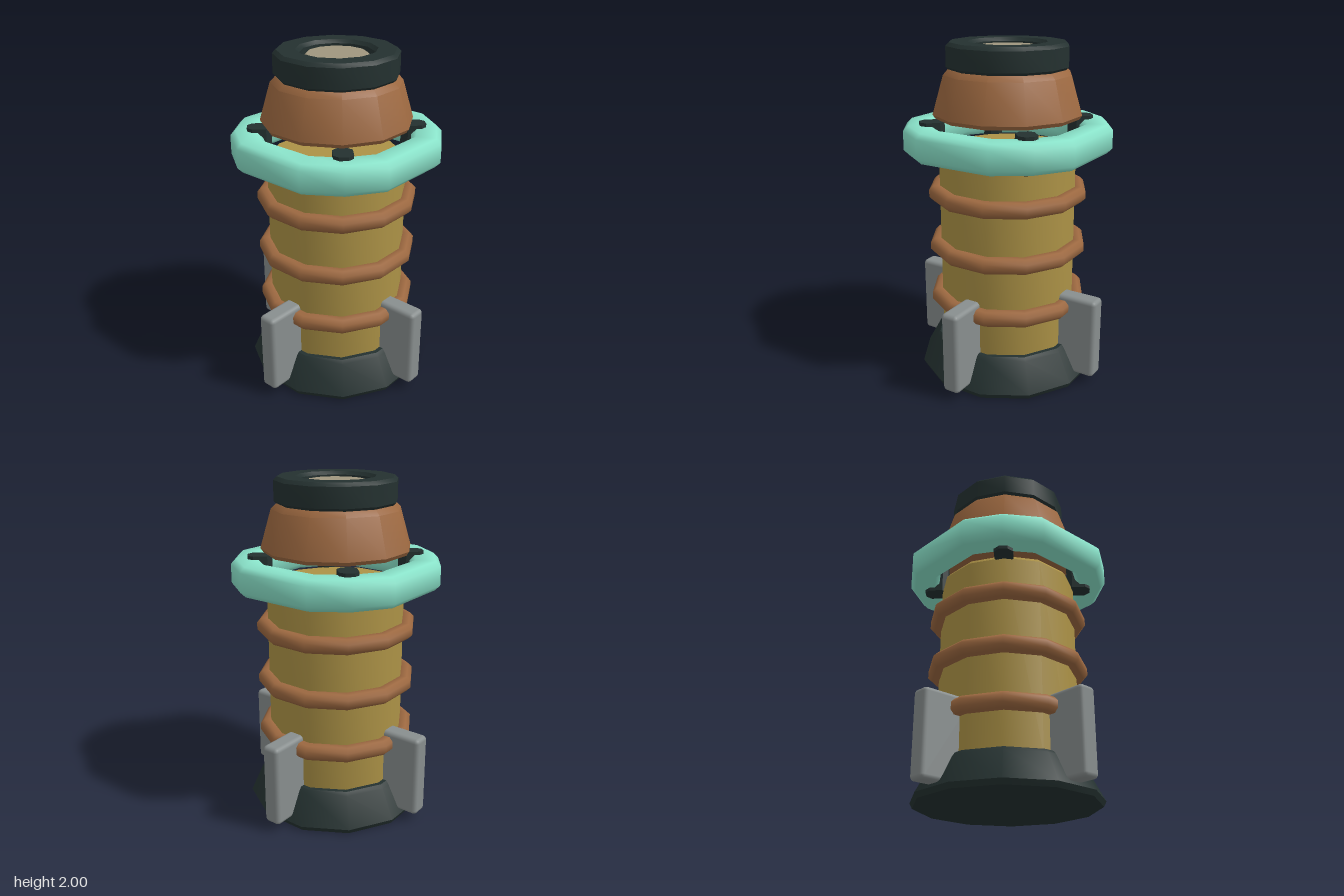
import * as THREE from 'three';
import { toCreasedNormals } from 'three/addons/utils/BufferGeometryUtils.js';
import { RoundedBoxGeometry } from 'three/addons/geometries/RoundedBoxGeometry.js';

const material = (name, color) => {
  const m = new THREE.MeshStandardMaterial({ color });
  m.name = name;
  return m;
};

// Twelve-sided turned part; the profile runs from bottom to top on the outside
function turned(profile, crease = 0.62) {
  const points = profile.map(([r, y]) => new THREE.Vector2(r, y));
  return toCreasedNormals(new THREE.LatheGeometry(points, 12), crease);
}

// Closed band profile with chamfered corners: inner and outer radius, bottom and top
function band(inner, outer, y0, y1, c) {
  return [
    [inner + c, y0], [outer - c, y0], [outer, y0 + c], [outer, y1 - c],
    [outer - c, y1], [inner + c, y1], [inner, y1 - c], [inner, y0 + c], [inner + c, y0],
  ];
}

// Moves the 30 and 60 degree corners of a ring to 22.5 and 67.5 degrees
function shiftCorners(geometry) {
  const p = geometry.attributes.position;
  for (let i = 0; i < p.count; i++) {
    const r = Math.hypot(p.getX(i), p.getZ(i));
    const step = Math.round(Math.atan2(p.getX(i), p.getZ(i)) / (Math.PI / 6));
    const k = ((step % 3) + 3) % 3;
    const a = step * Math.PI / 6 + [0, -1, 1][k] * Math.PI / 24;
    p.setXYZ(i, r * Math.sin(a), p.getY(i), r * Math.cos(a));
  }
  return geometry;
}

export function createModel() {
  const model = new THREE.Group();
  model.name = 'finnedCanister';

  const teal = material('teal', 0x8ae3ca);
  const copper = material('copper', 0x9c6840);
  const brass = material('brass', 0xac9246);
  const dark = material('dark', 0x243130);
  const grey = material('grey', 0x888e8e);
  const beige = material('beige', 0xa0967e);

  const add = (name, geometry, mat) => {
    const mesh = new THREE.Mesh(geometry, mat);
    mesh.name = name;
    model.add(mesh);
    return mesh;
  };

  // Flared foot and main barrel
  add('base', turned([[0, 0], [0.53, 0], [0.545, 0.03], [0.452, 0.2], [0.435, 0.22], [0, 0.22]]), dark);
  add('barrel', turned([[0, 0.2], [0.41, 0.2], [0.41, 1.355], [0.39, 1.38], [0, 1.38]]), brass);

  // Three hoops around the barrel
  for (const y of [0.47, 0.8, 1.13]) {
    add('hoop', turned(band(0.385, 0.475, y - 0.045, y + 0.045, 0.024), 1), copper);
  }

  // Floating collar ring
  const collar = new THREE.LatheGeometry(
    band(0.435, 0.612, 1.37, 1.54, 0.03).map(([r, y]) => new THREE.Vector2(r, y)), 12);
  add('collarRing', toCreasedNormals(shiftCorners(collar), 1), teal);

  // Four clips holding the collar
  const clipShape = new THREE.Shape([
    [0.375, -0.025], [0.405, -0.055], [0.485, -0.055], [0.515, -0.025],
    [0.515, 0.025], [0.485, 0.055], [0.405, 0.055], [0.375, 0.025],
  ].map(([x, y]) => new THREE.Vector2(x, y)));
  const clip = new THREE.ExtrudeGeometry(clipShape, { depth: 0.21, bevelEnabled: false });
  clip.rotateX(-Math.PI / 2).translate(0, 1.35, 0);

  // Four diagonal fins at the foot
  const fin = new RoundedBoxGeometry(0.33, 0.495, 0.11, 2, 0.025);
  fin.translate(0.465, 0.2975, 0);
  for (let i = 0; i < 4; i++) {
    add('clip', clip, dark).rotation.y = i * Math.PI / 2;
    add('fin', fin, grey).rotation.y = (i + 0.5) * Math.PI / 2;
  }

  // Tapered head, rim cap and recessed lens
  add('head', turned([
    [0, 1.575], [0.425, 1.575], [0.44, 1.598], [0.375, 1.82], [0.345, 1.85], [0, 1.85],
  ]), copper);
  add('rimCap', turned(band(0.21, 0.357, 1.845, 2, 0.02)), dark);
  add('lens', turned([[0, 1.84], [0.203, 1.84], [0.203, 1.94], [0.172, 1.975], [0, 1.975]]), beige);

  return model;
}
